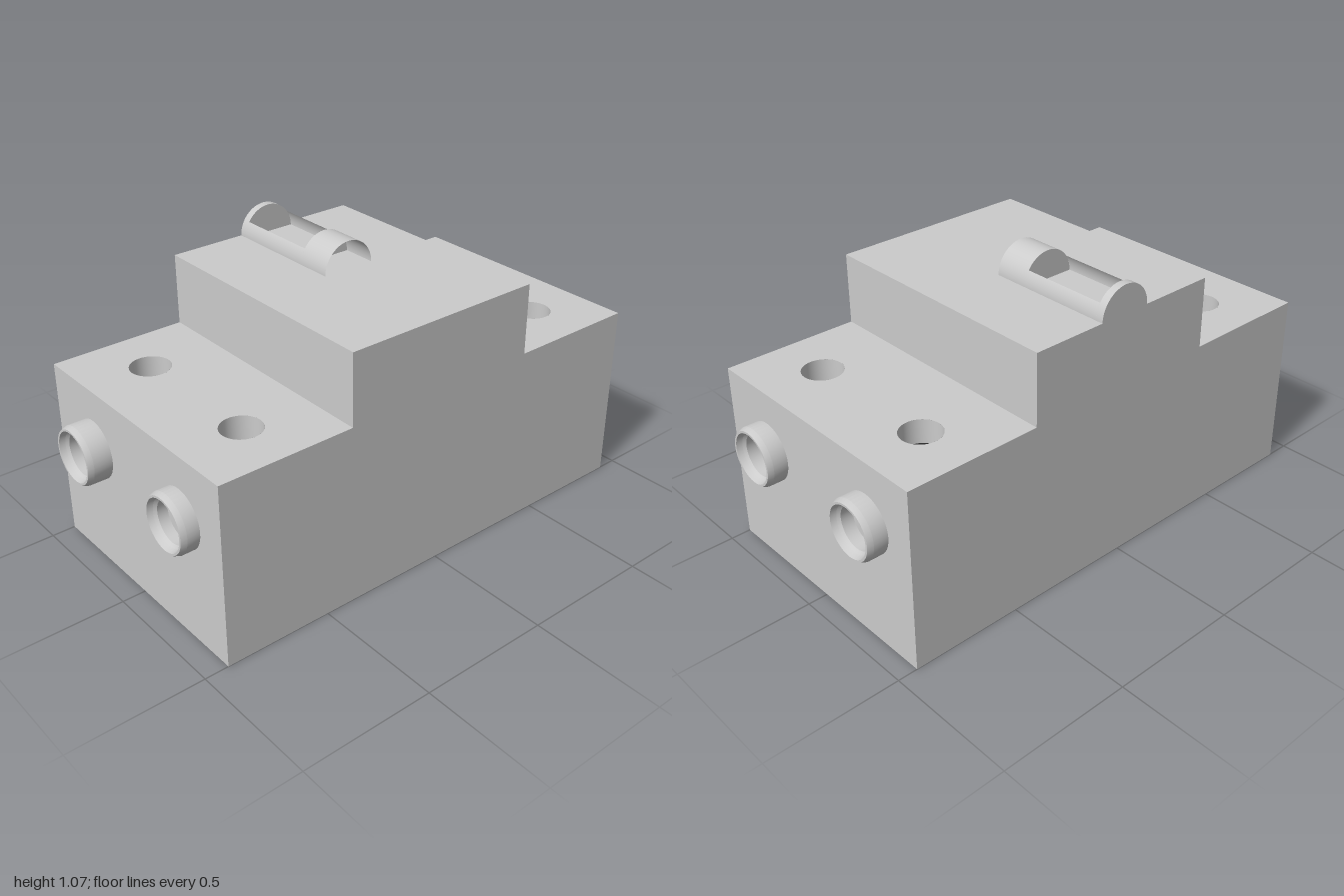
import * as THREE from 'three';
import { toCreasedNormals } from 'three/addons/utils/BufferGeometryUtils.js';

const W = 0.5, FRONT = 0.91, BACK = -0.925;
const STEP_F = 0.39, STEP_B = -0.405;
const STEP_Y = 0.69, TOP_Y = 0.96, TRAY_Y = 0.62;

const grey = new THREE.MeshStandardMaterial({ color: 0xcccccc, side: THREE.DoubleSide });
const dark = new THREE.MeshStandardMaterial({ color: 0x2a2a2a });

function add(parent, name, geometry, material = grey) {
  const mesh = new THREE.Mesh(geometry, material);
  mesh.name = name;
  parent.add(mesh);
  return mesh;
}

function outline(points) {
  return new THREE.Shape(points.map(([x, y]) => new THREE.Vector2(x, y)));
}

// Upright panel across the width
function wall(parent, name, z, y0, y1) {
  add(parent, name, new THREE.PlaneGeometry(2 * W, y1 - y0)).position.set(0, (y0 + y1) / 2, z);
}

// Level panel between two depths, with optional round holes
function deck(parent, name, y, z0, z1, holes = []) {
  const shape = outline([[-W, -z1], [W, -z1], [W, -z0], [-W, -z0]]);
  for (const [x, z, r] of holes) {
    shape.holes.push(new THREE.Path().absarc(x, -z, r, 0, Math.PI * 2, true));
  }
  add(parent, name, new THREE.ShapeGeometry(shape, 24).rotateX(-Math.PI / 2)).position.y = y;
}

// Hollow collar around a cable entry, pointing along +z
function socketRing(length) {
  const profile = [
    [0.076, 0], [0.09, -0.015], [0.11, -0.015], [0.11, length - 0.02], [0.102, length],
    [0.094, length], [0.087, length - 0.02], [0.078, length - 0.03], [0.076, 0],
  ].map(([r, y]) => new THREE.Vector2(r, y));
  return toCreasedNormals(new THREE.LatheGeometry(profile, 40), 0.4).rotateX(Math.PI / 2);
}

// Dark screw head with a cross slot, sunk in a round well
function screwWell(r) {
  const group = new THREE.Group();
  add(group, 'well', new THREE.CylinderGeometry(r, r, 0.1, 32, 1, true)).position.y = -0.05;
  add(group, 'screwBase', new THREE.CylinderGeometry(r, r, 0.02, 32), dark).position.y = -0.11;
  const gap = 0.007, a = Math.asin(gap / (r * 0.95));
  const quarter = new THREE.Shape();
  quarter.moveTo(gap, gap);
  quarter.absarc(0, 0, r * 0.95, a, Math.PI / 2 - a, false);
  quarter.closePath();
  const pad = new THREE.ExtrudeGeometry(quarter, { depth: 0.012, bevelEnabled: false, curveSegments: 8 });
  pad.rotateX(-Math.PI / 2);
  for (let i = 0; i < 4; i++) {
    const mesh = add(group, 'screwQuarter', pad, dark);
    mesh.position.y = -0.1;
    mesh.rotation.y = i * Math.PI / 2;
  }
  return group;
}

// Arched lever shell lying along x, cut open in the middle
function lever() {
  const group = new THREE.Group();
  const R = 0.106, low = Math.asin(0.058 / R);
  const strip = (name, x0, x1, a0, a1) => {
    const g = new THREE.CylinderGeometry(R, R, x1 - x0, 24, 1, true, Math.PI + a0, a1 - a0);
    g.rotateZ(Math.PI / 2).rotateX(0);
    // Angle runs from -z over the top to +z
    const p = g.attributes.position, n = g.attributes.normal;
    for (let i = 0; i < p.count; i++) {
      const t = a0 + (a1 - a0) * (i % 25) / 24;
      p.setXYZ(i, i < 25 ? x0 : x1, R * Math.sin(t), -R * Math.cos(t));
      n.setXYZ(i, 0, Math.sin(t), -Math.cos(t));
    }
    // Match the winding to the outward normals
    const index = Array.from(g.index.array);
    const A = new THREE.Vector3().fromBufferAttribute(p, index[0]);
    const B = new THREE.Vector3().fromBufferAttribute(p, index[1]).sub(A);
    const C = new THREE.Vector3().fromBufferAttribute(p, index[2]).sub(A);
    const N = new THREE.Vector3().fromBufferAttribute(n, index[0]);
    if (B.cross(C).dot(N) < 0) g.setIndex(index.reverse());
    add(group, name, g);
  };
  strip('endArch', -0.5, -0.47, 0, Math.PI);
  strip('gripArch', -0.135, 0, 0, Math.PI);
  strip('backRail', -0.47, -0.135, 0, low);
  strip('frontRail', -0.47, -0.135, Math.PI - low, Math.PI);
  for (const x of [-0.5, -0.47, -0.135]) {
    const cap = new THREE.CircleGeometry(R, 24, 0, Math.PI).rotateY(-Math.PI / 2);
    add(group, 'leverCap', cap).position.x = x;
  }
  return group;
}

export function createModel() {
  const model = new THREE.Group();

  // Thin stepped housing, open underneath
  const housing = new THREE.Group();
  housing.name = 'housing';
  model.add(housing);
  const side = outline([
    [BACK, 0], [FRONT, 0], [FRONT, STEP_Y], [STEP_F, STEP_Y],
    [STEP_F, TOP_Y], [STEP_B, TOP_Y], [STEP_B, STEP_Y], [BACK, STEP_Y],
  ]);
  for (const s of [-1, 1]) {
    const g = new THREE.ShapeGeometry(side).rotateY(-Math.PI / 2);
    if (s > 0) g.setIndex(Array.from(g.index.array).reverse());
    for (let i = 0; i < g.attributes.normal.count; i++) g.attributes.normal.setXYZ(i, s, 0, 0);
    add(housing, s > 0 ? 'leftWall' : 'rightWall', g).position.x = s * W;
  }
  wall(housing, 'frontWall', FRONT, 0, STEP_Y);
  wall(housing, 'backWall', BACK, 0, STEP_Y);
  wall(housing, 'frontRiser', STEP_F, TRAY_Y, TOP_Y);
  wall(housing, 'backRiser', STEP_B, TRAY_Y, TOP_Y);

  const R = 0.075, frontZ = 0.66, backZ = -0.69;
  deck(housing, 'frontDeck', STEP_Y, STEP_F, FRONT, [[-0.27, frontZ, R], [0.27, frontZ, R]]);
  deck(housing, 'backDeck', STEP_Y, BACK, STEP_B, [[-0.27, backZ, R], [0.27, backZ, R]]);
  deck(housing, 'topDeck', TOP_Y, STEP_B, STEP_F);
  deck(housing, 'innerTray', TRAY_Y, STEP_B, STEP_F);

  // Terminal screws
  for (const x of [-0.27, 0.27]) {
    for (const z of [frontZ, backZ]) {
      const screw = screwWell(R);
      screw.name = 'terminalScrew';
      screw.position.set(x, STEP_Y, z);
      model.add(screw);
    }
  }

  // Cable entries: x, y, wall depth, length
  for (const [x, y, z, length] of [
    [-0.25, 0.463, FRONT, 0.09], [0.275, 0.457, FRONT, 0.067],
    [-0.28, 0.46, BACK, 0.075], [0.275, 0.46, BACK, 0.075],
  ]) {
    const ring = add(model, 'cableSocket', socketRing(length));
    ring.position.set(x, y, z);
    if (z < 0) ring.rotation.y = Math.PI;
  }

  // Switch lever
  const handle = lever();
  handle.name = 'switchLever';
  handle.position.set(0, TOP_Y, -0.012);
  model.add(handle);

  return model;
}
